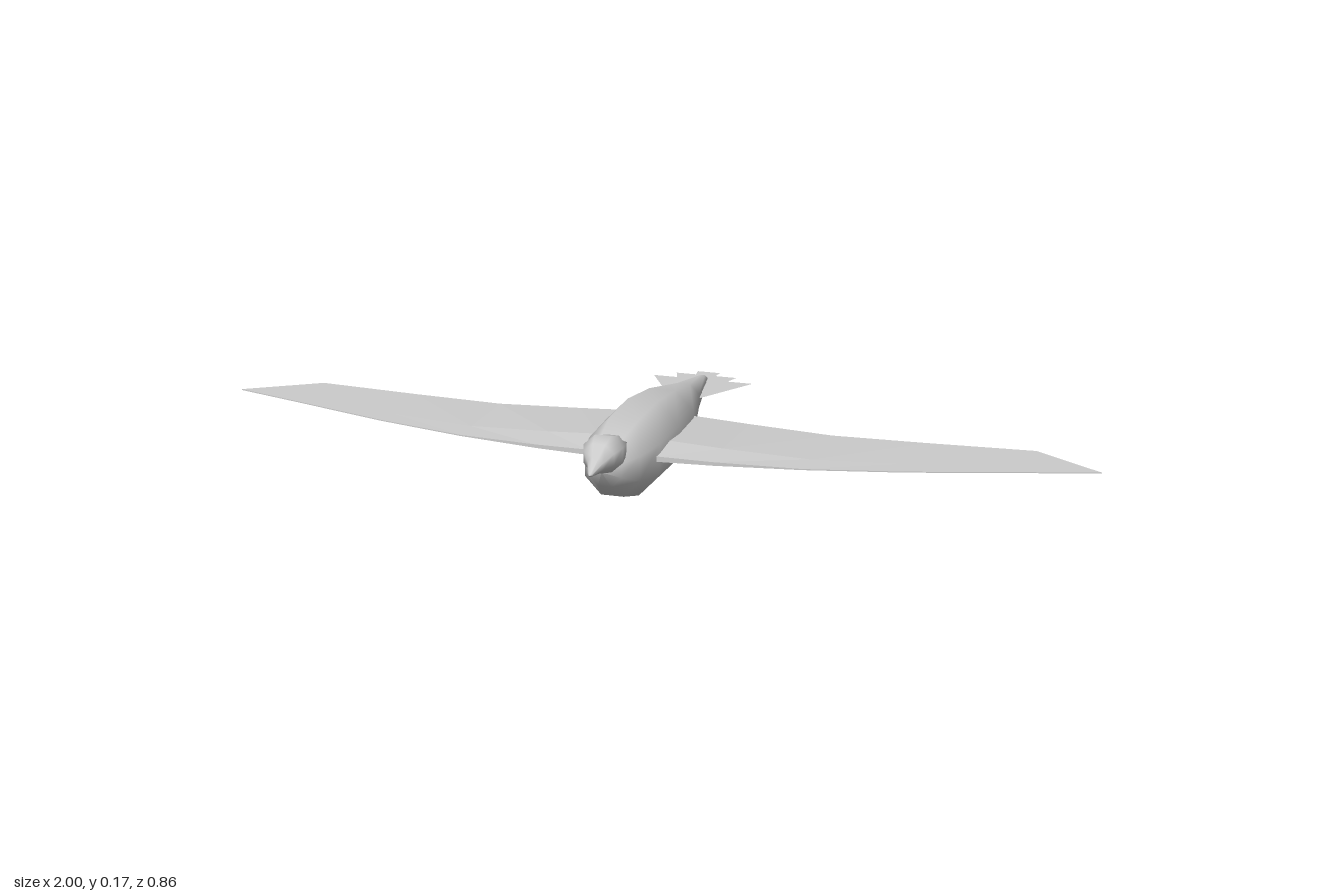
import * as THREE from 'three';

const grey = new THREE.MeshStandardMaterial({ color: 0xcccccc });
const greyFlat = new THREE.MeshStandardMaterial({ color: 0xcccccc, flatShading: true });
const greyThin = new THREE.MeshStandardMaterial({ color: 0xcccccc, side: THREE.DoubleSide });

// Skin a list of closed rings, each an array of Vector3
function loft(rings) {
  const n = rings[0].length;
  const index = [];
  for (let i = 0; i < rings.length - 1; i++) {
    for (let j = 0; j < n; j++) {
      const a = i * n + j, b = i * n + (j + 1) % n;
      index.push(a, b, a + n, b, b + n, a + n);
    }
  }
  const geometry = new THREE.BufferGeometry().setFromPoints(rings.flat());
  geometry.setIndex(index);
  geometry.computeVertexNormals();
  return geometry;
}

// Eight-sided ring across z, flat at top and bottom
function octagon([z, bottom, top, halfWidth]) {
  const flat = Math.cos(Math.PI / 8);
  return Array.from({ length: 8 }, (_, j) => {
    const a = (j + 0.5) * Math.PI / 4;
    return new THREE.Vector3(
      Math.cos(a) * halfWidth / flat,
      (top + bottom) / 2 + Math.sin(a) * (top - bottom) / 2 / flat, z);
  });
}

function addMesh(group, name, geometry, material) {
  const mesh = new THREE.Mesh(geometry, material);
  mesh.name = name;
  group.add(mesh);
  return mesh;
}

export function createModel() {
  const bird = new THREE.Group();
  bird.name = 'bird';

  // Body stations from tail to breast: z, bottom, top, half width
  const body = [
    [-0.39, 0.099, 0.099, 0], [-0.38, 0.09, 0.108, 0.012], [-0.23, 0.055, 0.13, 0.037],
    [-0.07, 0.013, 0.162, 0.073], [0.07, 0.003, 0.178, 0.084], [0.2, 0.003, 0.173, 0.08],
    [0.28, 0.025, 0.157, 0.062], [0.33, 0.062, 0.138, 0.037], [0.352, 0.1, 0.1, 0],
  ];
  addMesh(bird, 'body', loft(body.map(octagon)), grey);

  // Head running out into the beak
  const head = [
    [0.26, 0.14, 0.14, 0], [0.27, 0.125, 0.158, 0.03], [0.3, 0.108, 0.166, 0.038],
    [0.34, 0.098, 0.178, 0.044], [0.368, 0.105, 0.167, 0.034], [0.39, 0.11, 0.145, 0.018],
    [0.425, 0.113, 0.122, 0.005], [0.429, 0.116, 0.116, 0],
  ];
  addMesh(bird, 'headAndBeak', loft(head.map(octagon)), grey);

  // Wing stations from root to tip: x, trailing z, leading z, edge top, ridge top
  const underside = 0.088;
  const wing = [
    [0, -0.09, 0.22, 0.101, 0.116], [0.08, -0.09, 0.213, 0.1, 0.112],
    [0.2, -0.083, 0.202, 0.096, 0.104], [0.39, -0.075, 0.172, 0.0905, 0.092],
    [0.6, -0.087, 0.122, 0.0902, 0.0906], [0.84, -0.105, 0.048, 0.0902, 0.0904],
    [1, 0, 0, 0.0902, 0.0902],
  ].map(([x, back, front, edge, ridge]) => [
    new THREE.Vector3(x, ridge, THREE.MathUtils.lerp(back, front, 0.74)),
    new THREE.Vector3(x, edge, front),
    new THREE.Vector3(x, underside, front),
    new THREE.Vector3(x, underside, back),
    new THREE.Vector3(x, edge, back),
  ]);
  const wingGeometry = loft(wing);
  addMesh(bird, 'leftWing', wingGeometry, greyFlat);
  addMesh(bird, 'rightWing', wingGeometry, greyFlat).scale.x = -1;

  // Tail fan: thin stacked wedges; half width, end z, apex z, height
  const tail = new THREE.Group();
  tail.name = 'tail';
  [[0.027, -0.43, -0.2, 0.101], [0.073, -0.41, -0.19, 0.099], [0.12, -0.382, -0.17, 0.097]]
    .forEach(([halfWidth, end, apex, y], i) => {
      const shape = new THREE.Shape([
        new THREE.Vector2(0, -apex), new THREE.Vector2(halfWidth, -end), new THREE.Vector2(-halfWidth, -end),
      ]);
      const feather = addMesh(tail, `tailFeathers${i + 1}`, new THREE.ShapeGeometry(shape), greyThin);
      feather.rotation.x = -Math.PI / 2;
      feather.position.y = y;
    });
  bird.add(tail);

  return bird;
}
